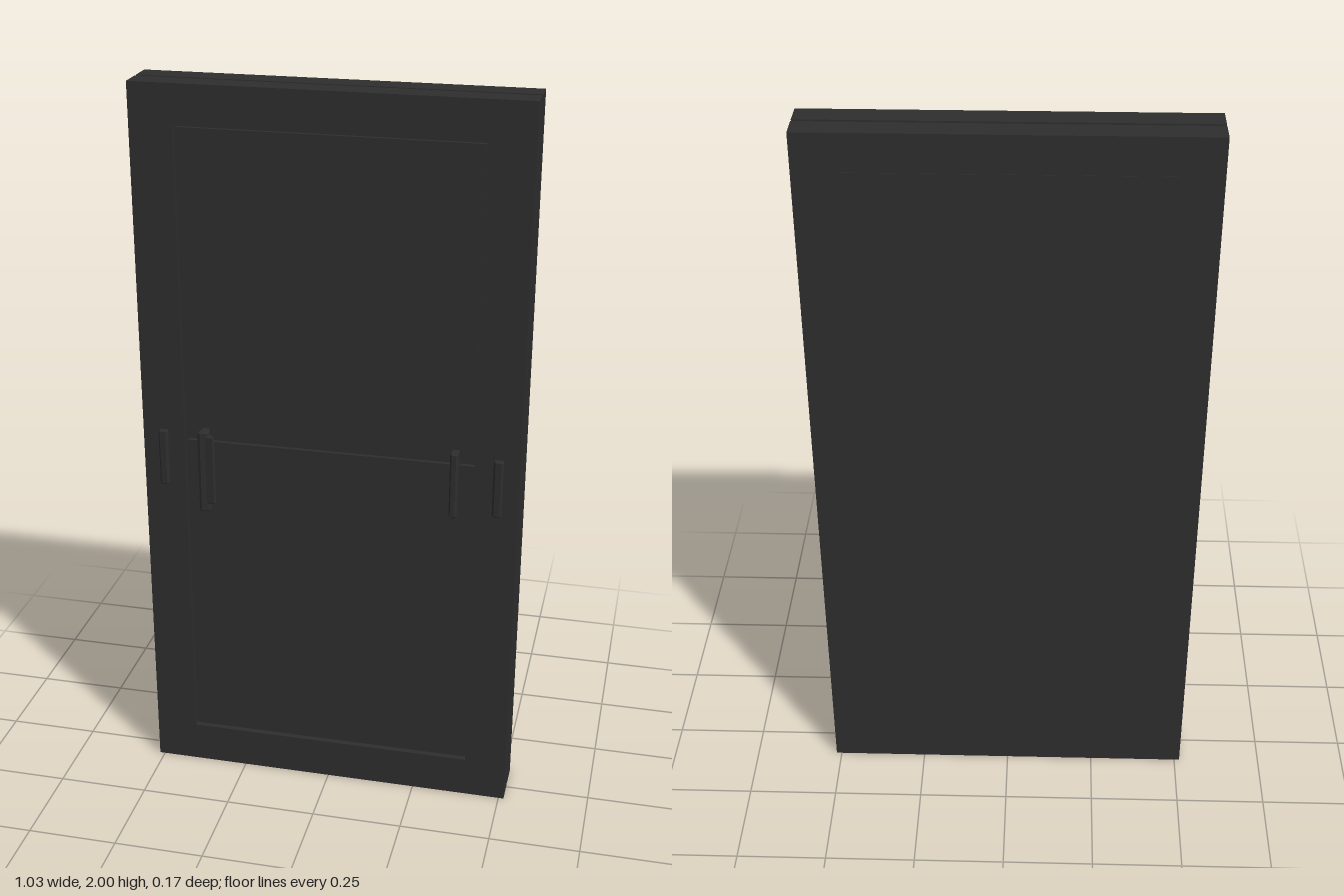
import * as THREE from 'three';

export function createModel() {
  const model = new THREE.Group();
  const charcoal = new THREE.MeshStandardMaterial({ color: 0x2e2e2e });
  charcoal.name = 'charcoal';

  const add = (name, geometry) => {
    const mesh = new THREE.Mesh(geometry, charcoal);
    mesh.name = name;
    model.add(mesh);
    return mesh;
  };

  // Box given by its limits on each axis
  const block = (name, x0, x1, y0, y1, z0, z1) =>
    add(name, new THREE.BoxGeometry(x1 - x0, y1 - y0, z1 - z0))
      .position.set((x0 + x1) / 2, (y0 + y1) / 2, (z0 + z1) / 2);

  const rect = (path, x0, x1, y0, y1) => path
    .moveTo(x0, y0).lineTo(x1, y0).lineTo(x1, y1).lineTo(x0, y1).closePath();

  // Back slab, with a faintly raised back panel, and the core in the edge groove
  block('backSlab', -0.515, 0.515, 0, 2, -0.084, -0.018);
  block('backPanel', -0.42, 0.42, 0.11, 1.9, -0.085, -0.08);
  block('grooveCore', -0.503, 0.503, 0.012, 1.988, -0.02, -0.006);

  // Front frame with a rectangular opening
  const outline = new THREE.Shape();
  rect(outline, -0.515, 0.515, 0, 2);
  const opening = new THREE.Path();
  rect(opening, -0.4, 0.4, 0.115, 1.895);
  outline.holes.push(opening);
  add('frontFrame', new THREE.ExtrudeGeometry(outline, { depth: 0.066, bevelEnabled: false }))
    .position.z = -0.008;

  // Recessed door panels with a narrow groove around them
  block('panelBacking', -0.405, 0.405, 0.11, 1.9, -0.008, 0.04);
  block('upperPanel', -0.394, 0.394, 1.35, 1.889, 0.03, 0.051);
  block('middlePanel', -0.394, 0.394, 1.038, 1.35, 0.03, 0.05);
  block('lowerPanel', -0.394, 0.394, 0.121, 1.032, 0.03, 0.051);

  // Upright grips: a cross-section in x and z, extruded along y
  const grip = (name, points, y0, y1) => {
    const shape = new THREE.Shape(points.map(([x, z]) => new THREE.Vector2(x, -z)));
    const geometry = new THREE.ExtrudeGeometry(shape, {
      depth: y1 - y0 - 0.006, bevelSize: 0.002, bevelThickness: 0.003, bevelSegments: 1,
    });
    geometry.rotateX(-Math.PI / 2);
    add(name, geometry).position.y = y0 + 0.003;
  };

  for (const [side, x] of [['right', -0.457], ['left', 0.459]]) {
    grip(side + 'FrameGrip',
      [[x - 0.011, 0.05], [x - 0.011, 0.066], [x - 0.007, 0.071], [x + 0.007, 0.071], [x + 0.011, 0.066], [x + 0.011, 0.05]],
      0.9, 1.06);
  }
  grip('leftPanelGrip',
    [[0.335, 0.045], [0.334, 0.074], [0.338, 0.081], [0.348, 0.081], [0.352, 0.074], [0.351, 0.045]],
    0.89, 1.075);
  grip('rightPanelGrip',
    [[-0.345, 0.045], [-0.353, 0.08], [-0.348, 0.083], [-0.33, 0.08], [-0.326, 0.07], [-0.332, 0.045]],
    0.835, 1.07);
  // Flared lip on the right grip
  grip('rightGripLip',
    [[-0.34, 0.06], [-0.342, 0.08], [-0.314, 0.083], [-0.312, 0.08], [-0.328, 0.066]],
    0.86, 1.06);

  return model;
}
